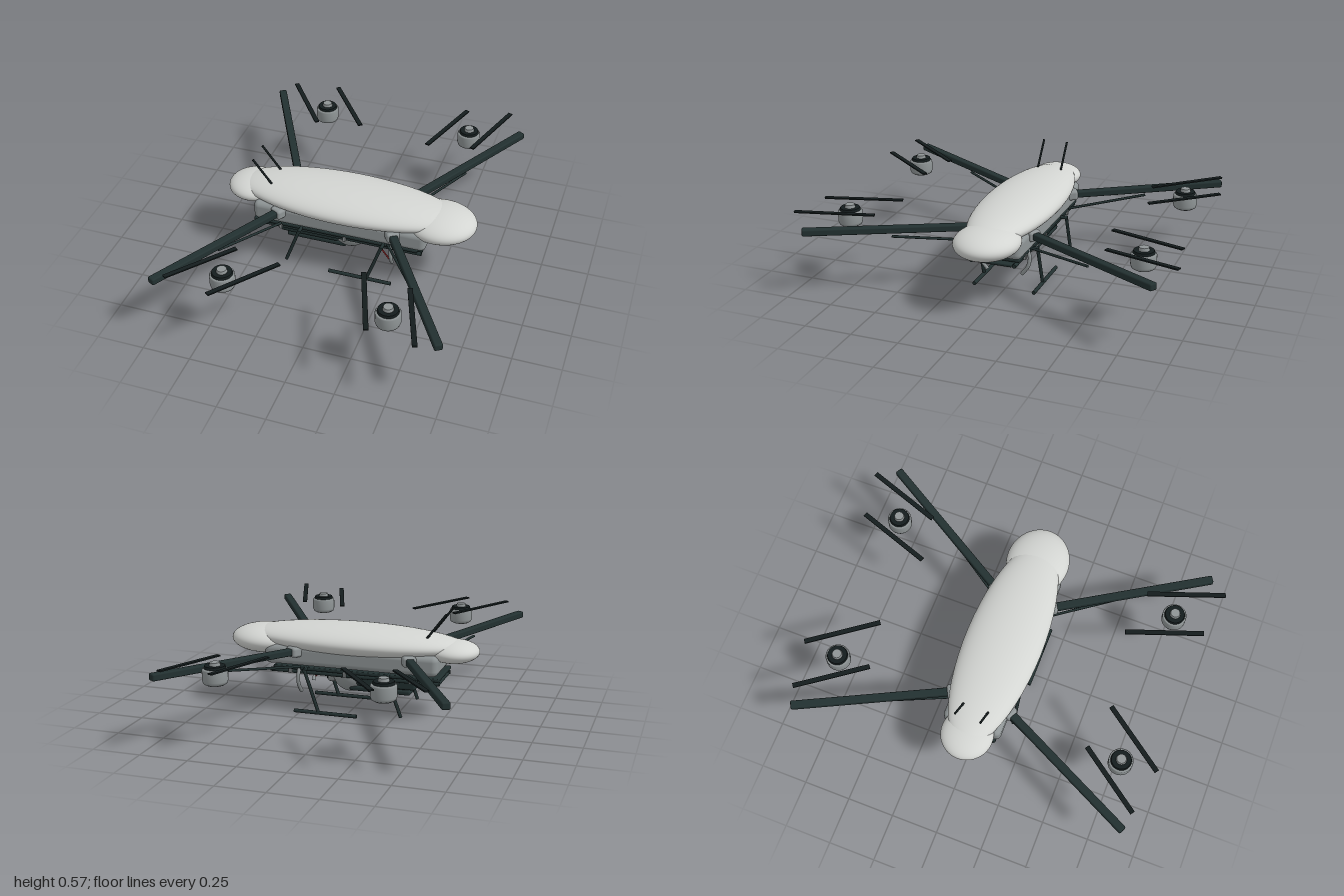
import * as THREE from 'three';
import { RoundedBoxGeometry } from 'three/addons/geometries/RoundedBoxGeometry.js';

const mat = (name, color) => {
  const m = new THREE.MeshStandardMaterial({ color });
  m.name = name;
  return m;
};

export function createModel() {
  const shell = mat('pale shell', 0xd3d5d2);
  const grey = mat('mid grey', 0x8f9596);
  const carbon = mat('dark carbon', 0x223030);
  const black = mat('near black', 0x141c1d);
  const glass = mat('lens glass', 0x2c3c42);
  const red = mat('red cable', 0x8c2222);

  const model = new THREE.Group();
  model.name = 'quadcopter';

  const add = (name, geo, material, x = 0, y = 0, z = 0, parent = model) => {
    const m = new THREE.Mesh(geo, material);
    m.name = name;
    m.position.set(x, y, z);
    parent.add(m);
    return m;
  };
  const V = (p) => new THREE.Vector3(...p);

  // Round bar between two points
  const rod = (name, a, b, r, material, sides = 10) => {
    const p = V(a), q = V(b), d = q.clone().sub(p);
    const m = add(name, new THREE.CylinderGeometry(r, r, d.length(), sides), material);
    m.position.copy(p).add(q).multiplyScalar(0.5);
    m.quaternion.setFromUnitVectors(new THREE.Vector3(0, 1, 0), d.normalize());
    return m;
  };

  // Flat bar between two points, wide side up
  const bar = (name, a, b, width, thick, material, round = 0) => {
    const p = V(a), q = V(b), len = p.distanceTo(q);
    const geo = round
      ? new RoundedBoxGeometry(width, thick, len, 3, round)
      : new THREE.BoxGeometry(width, thick, len);
    const m = add(name, geo, material);
    m.position.copy(p).add(q).multiplyScalar(0.5);
    m.lookAt(q);
    return m;
  };

  const box = (name, x0, x1, y0, y1, halfZ, material, r = 0.008, z = 0) =>
    add(name, new RoundedBoxGeometry(x1 - x0, y1 - y0, halfZ * 2, 3, r), material,
      (x0 + x1) / 2, (y0 + y1) / 2, z);

  const ellipsoid = (name, x, y, rx, ry, rz) =>
    add(name, new THREE.SphereGeometry(1, 48, 32), shell, x, y, 0).scale.set(rx, ry, rz);

  // Shell
  ellipsoid('hull', -0.01, 0.385, 0.6, 0.08, 0.204);
  ellipsoid('nosePod', 0.49, 0.355, 0.19, 0.075, 0.168);
  ellipsoid('tailPod', -0.535, 0.362, 0.138, 0.058, 0.136);
  box('belly', -0.49, 0.45, 0.252, 0.36, 0.157, grey, 0.03);

  // Underside tray and rails
  box('trayTop', -0.495, 0.405, 0.225, 0.243, 0.135, carbon, 0.006);
  box('trayBottom', -0.495, 0.425, 0.203, 0.219, 0.1, carbon, 0.006);
  for (const s of [-1, 1]) {
    rod('rail', [-0.495, 0.212, s * 0.115], [0.425, 0.212, s * 0.115], 0.011, carbon);
    for (const x of [-0.345, 0.01, 0.31])
      box('railClip', x - 0.008, x + 0.008, 0.205, 0.235, 0.008, grey, 0.003, s * 0.13);
  }
  for (const x of [-0.35, 0, 0.33])
    box('trayMount', x - 0.03, x + 0.03, 0.235, 0.26, 0.1, carbon, 0.004);

  // Battery packs
  box('upperBattery', -0.36, -0.04, 0.155, 0.206, 0.092, carbon, 0.012);
  box('lowerBattery', -0.33, 0, 0.122, 0.148, 0.082, carbon, 0.01);
  box('batterySpacer', -0.31, -0.05, 0.14, 0.17, 0.065, black, 0.004);

  // Camera ball looking forward along +x
  add('cameraBall', new THREE.SphereGeometry(0.102, 40, 28), grey, 0.01, 0.202, 0);
  const lensPart = (name, x, len, r, material, sides) => {
    const m = add(name, new THREE.CylinderGeometry(r, r, len, sides), material, x, 0.193, 0);
    m.rotation.z = -Math.PI / 2;
  };
  lensPart('lensRing', 0.105, 0.05, 0.052, grey, 28);
  lensPart('lensBarrel', 0.115, 0.05, 0.044, black, 8);
  lensPart('lensGlass', 0.139, 0.006, 0.034, glass, 24);

  // Curved hooks and cable
  for (const s of [-1, 1]) {
    const path = new THREE.CatmullRomCurve3([
      [0.26, 0.24, 0.125], [0.263, 0.2, 0.138], [0.265, 0.15, 0.13], [0.262, 0.1, 0.095],
    ].map(([x, y, z]) => new THREE.Vector3(x, y, s * z)));
    add('hook', new THREE.TubeGeometry(path, 20, 0.01, 10), grey);
  }
  rod('cable', [0.17, 0.225, 0.1], [0.262, 0.115, 0.11], 0.004, red, 8);

  // Antennas
  for (const z of [-0.067, 0.067])
    rod('antenna', [-0.512, 0.567, z], [-0.405, 0.425, z], 0.006, black, 8);

  // Motor profile
  const motorProfile = [
    [0, 0.318], [0.045, 0.318], [0.058, 0.326], [0.063, 0.34], [0.063, 0.392], [0.058, 0.4], [0, 0.4],
  ].map(([x, y]) => new THREE.Vector2(x, y));

  const cornerPlan = [
    // Right-hand side arms reach +x, tail arms reach -x
    { root: [0.26, 0.33, 0.13], tip: [0.722, 0.362, 0.905], strut: [[0.25, 0.246, 0.14], [0.495, 0.308, 0.52]],
      motor: [0.444, 0.78], collar: [0.29, 0.185],
      blades: [[0.39, 0.955, 0.257, 0.57], [0.632, 0.995, 0.5, 0.61]] },
    { root: [-0.33, 0.33, 0.13], tip: [-0.72, 0.362, 0.9], strut: [[-0.34, 0.246, 0.14], [-0.53, 0.31, 0.52]],
      motor: [-0.395, 0.775], collar: [-0.355, 0.185],
      blades: [[-0.635, 0.915, -0.395, 0.593], [-0.393, 0.96, -0.152, 0.637]] },
  ];

  for (const s of [-1, 1]) {
    const f = ([x, y, z]) => [x, y, z * s];
    for (const c of cornerPlan) {
      // Arm, root collar and brace
      bar('arm', f(c.root), f(c.tip), 0.042, 0.036, carbon, 0.008);
      const a = V(f(c.root)).lerp(V(f(c.tip)), 0.0).toArray();
      const b = V(f(c.root)).lerp(V(f(c.tip)), 0.07).toArray();
      bar('armCollar', a, b, 0.07, 0.055, grey, 0.015);
      rod('armBrace', f(c.strut[0]), f(c.strut[1]), 0.007, carbon, 8);

      // Motor
      const motor = new THREE.Group();
      motor.name = 'motor';
      motor.position.set(c.motor[0], 0, c.motor[1] * s);
      model.add(motor);
      add('motorCan', new THREE.LatheGeometry(motorProfile, 32), grey, 0, 0, 0, motor);
      add('motorTop', new THREE.CylinderGeometry(0.05, 0.054, 0.014, 32), black, 0, 0.406, 0, motor);
      add('motorCap', new THREE.CylinderGeometry(0.024, 0.028, 0.018, 24), grey, 0, 0.42, 0, motor);

      // Paired rotor blades
      for (const [ox, oz, ix, iz] of c.blades) {
        const outerY = c.motor[0] > 0 === ox > c.motor[0] ? 0.427 : 0.422;
        bar('rotorBlade', f([ox, outerY, oz]), f([ix, 0.412, iz]), 0.025, 0.007, black);
      }
    }

    // Landing gear
    const z = s * 0.165;
    rod('rearLeg', [-0.228, 0.243, z], [-0.306, 0.03, z], 0.009, carbon);
    rod('frontLeg', [0.222, 0.243, z], [0.143, 0.012, z], 0.009, carbon);
    rod('skid', [-0.067, 0.01, z], [0.278, 0.01, z], 0.01, carbon);
    for (const x of [-0.228, 0.222])
      rod('legMount', [x, 0.236, s * 0.1], [x, 0.236, s * 0.172], 0.009, carbon);
  }

  return model;
}
